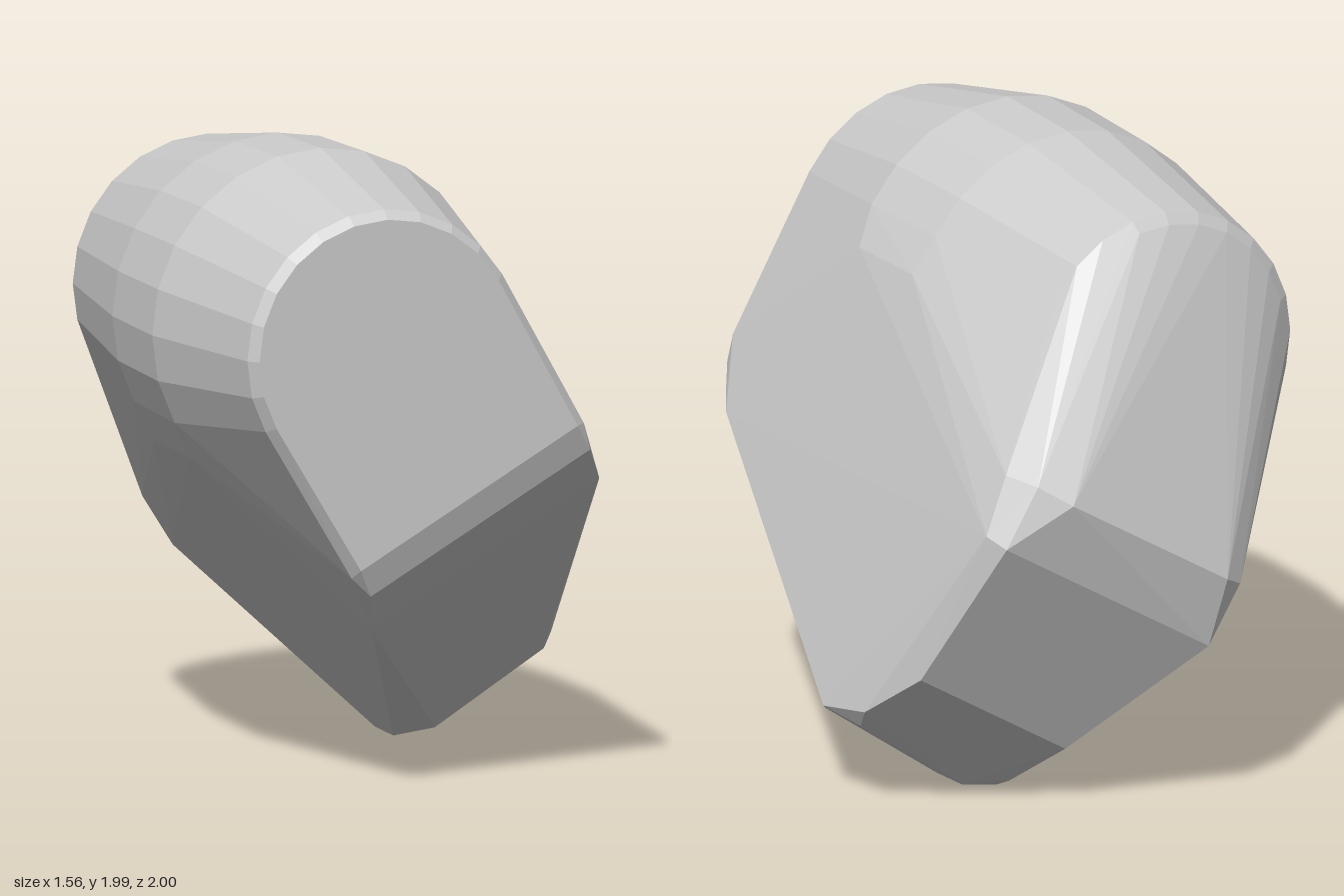
import * as THREE from 'three';
import { ConvexGeometry } from 'three/addons/geometries/ConvexGeometry.js';

export function createModel() {
  const group = new THREE.Group();
  const grey = new THREE.MeshStandardMaterial({ color: 0xcccccc, flatShading: true });
  grey.name = 'light grey';

  const CENTRE = 0.525, ARCH_Y = 1.348; // arch centre in the untilted frame
  const points = [];
  const add = (x, y, z) => points.push(new THREE.Vector3(x, y, z));

  // Rounded crown: a half circle at one depth
  const arch = (radius, z, steps = 12) => {
    for (let i = 0; i <= steps; i++) {
      const a = Math.PI * i / steps;
      add(CENTRE + radius * Math.cos(a), ARCH_Y + radius * Math.sin(a), z);
    }
  };

  // Barrel of arches from the front face to the back, bulging in the middle
  [[0.43, 1], [0.458, 0.965], [0.565, 0.4], [0.552, 0.01], [0.45, -0.615], [0.415, -0.64]]
    .forEach(([radius, z]) => arch(radius, z));

  // Mirrored side corners: half width, y, z
  [
    [0.42, 0.80, 1], [0.45, 0.785, 0.965], [0.425, 0.70, 0.965],   // front bevel
    [0.435, 0.60, 0.87], [0.44, 0.555, 0.82],
    [0.568, 1.21, 0.35], [0.562, 1.21, 0.02],                      // widest flanks
    [0.30, -0.09, -0.43], [0.30, 0.08, -0.64],                     // lower back
    [0.42, 0.57, -0.94], [0.465, 0.58, -0.87], [0.48, 0.78, -0.84],
    [0.42, 0.79, -0.945],
  ].forEach(([half, y, z]) => {
    add(CENTRE - half, y, z);
    add(CENTRE + half, y, z);
  });

  // Back ridge and slightly skewed foot
  [
    [0.18, 0.785, -0.985], [0.83, 0.785, -1],
    [0.23, -0.11, -0.12], [0.33, -0.155, -0.13], [0.76, -0.135, -0.12],
    [0.217, -0.125, -0.2], [0.33, -0.168, -0.2], [0.825, -0.13, -0.2],
    [0.217, -0.12, -0.36], [0.33, -0.165, -0.36], [0.77, -0.135, -0.36],
  ].forEach(p => add(...p));

  const body = new THREE.Mesh(new ConvexGeometry(points), grey);
  body.name = 'body';
  body.rotation.z = Math.PI / 6; // whole block leans to one side
  group.add(body);

  // Rest the leaning block on the ground
  group.updateMatrixWorld(true);
  body.position.y = -new THREE.Box3().setFromObject(body, true).min.y;
  return group;
}
